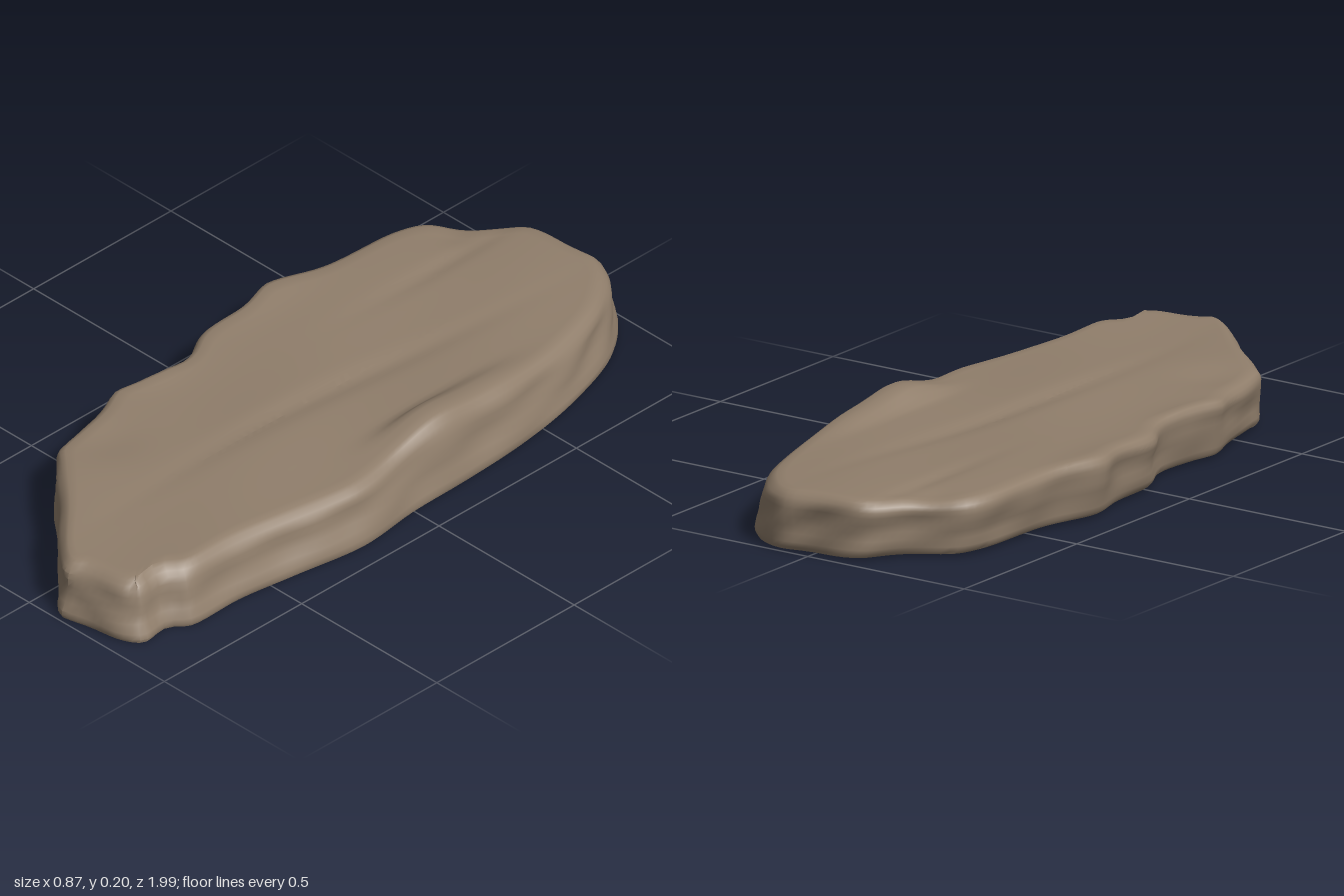
import * as THREE from 'three';
import { toCreasedNormals } from 'three/addons/utils/BufferGeometryUtils.js';

// plan of the slab as x, z pairs, clockwise from the back
const OUTLINE = [
  0.1, -1, 0.18, -0.97, 0.28, -0.86, 0.36, -0.64, 0.40, -0.42, 0.415, -0.2, 0.42, 0, 0.44, 0.2,
  0.41, 0.42, 0.385, 0.6, 0.38, 0.78, 0.345, 0.83, 0.35, 0.92, 0.30, 0.96, 0.2, 0.98, 0.09, 1,
  0.03, 0.96, -0.1, 0.83, -0.3, 0.64, -0.315, 0.58, -0.345, 0.45, -0.38, 0.34, -0.365, 0.25,
  -0.36, 0.12, -0.41, 0, -0.42, -0.15, -0.445, -0.28, -0.40, -0.45, -0.385, -0.7, -0.35, -0.79,
  -0.24, -0.87, -0.15, -0.97, 0, -0.99,
];

const bump = (x, z, cx, cz, rx, rz) => Math.exp(-(((x - cx) / rx) ** 2) - ((z - cz) / rz) ** 2);

// gentle uneven relief of the upper face
function topHeight(x, z) {
  let y = 0.163 + 0.002 * Math.sin(9 * x + 5 * z) + 0.002 * Math.sin(7 * z - 13 * x + 1);
  const ridge = THREE.MathUtils.smoothstep(x, 0.23, 0.29);
  y += 0.036 * ridge * Math.exp(-(((z + 0.14) / 0.13) ** 2));
  y += 0.016 * ridge * Math.exp(-(((z + 0.35) / 0.15) ** 2));
  y += 0.012 * bump(x, z, -0.38, 0.2, 0.07, 0.12) + 0.012 * bump(x, z, -0.42, -0.28, 0.08, 0.2);
  // long shallow grooves
  const bend = 0.06 + 0.05 * Math.sin(2.2 * z + 4);
  y -= 0.009 * bump(x, z, bend, -0.05, 0.035, 0.5);
  y -= 0.006 * bump(x, z, -0.17, -0.65, 0.025, 0.25);
  // worn hollows
  y -= 0.01 * bump(x, z, -0.22, 0.5, 0.09, 0.1) + 0.008 * bump(x, z, -0.25, -0.8, 0.06, 0.05);
  return y;
}

const bottomHeight = (x) => 0.007 - 0.012 * x;

function slabGeometry() {
  const pts = [];
  for (let i = 0; i < OUTLINE.length; i += 2) pts.push(new THREE.Vector3(OUTLINE[i], 0, OUTLINE[i + 1]));
  const N = 200;
  const curve = new THREE.CatmullRomCurve3(pts, true, 'centripetal');
  const edge = curve.getSpacedPoints(N).slice(0, N);
  const normals = edge.map((p, j) => {
    const t = edge[(j + 2) % N].clone().sub(edge[(j + N - 2) % N]).normalize();
    return new THREE.Vector3(t.z, 0, -t.x);
  });

  const pos = [], index = [];
  let rings = 0;
  const addRing = (f) => {
    edge.forEach((p, j) => pos.push(...f(p, normals[j], j)));
    rings++;
  };

  // cap ring: t = 1 is the rim, t = 0 collapses onto the long axis
  const capPoint = (p, t) => [0.02 + (p.x - 0.02) * t, p.z * (0.65 + 0.35 * t)];

  // side wall point at height fraction h
  const wallPoint = (p, n, h) => {
    const lean = 0.045 * h * Math.max(n.x, 0) + 0.03 * (1 - h) * Math.max(-n.x, 0)
      + 0.035 * h * Math.max(n.z, 0);
    const rounding = 0.02 * Math.max(0, (h - 0.8) / 0.2) ** 2 + 0.012 * Math.max(0, (0.15 - h) / 0.15) ** 2;
    const lumps = 0.008 * Math.sin(Math.PI * h)
      * (1 + Math.sin(17 * p.z + 11 * p.x + 4 * h) * Math.sin(23 * p.x - 9 * p.z + 5 * h));
    const d = lean + rounding + lumps;
    return [p.x - n.x * d, p.z - n.z * d];
  };

  // flat underside
  for (const t of [0, 0.5, 0.95]) addRing((p, n) => {
    const [x, z] = wallPoint(p, n, 0);
    const [cx, cz] = capPoint({ x, z }, t);
    return [cx, bottomHeight(cx), cz];
  });
  // rough side wall
  for (const h of [0, 0.06, 0.15, 0.3, 0.45, 0.6, 0.75, 0.85, 0.93, 1]) addRing((p, n) => {
    const [x, z] = wallPoint(p, n, h);
    const low = bottomHeight(x);
    return [x, low + (topHeight(x, z) - 0.006 - low) * h, z];
  });
  // uneven upper face
  for (let k = 1; k <= 18; k++) addRing((p, n) => {
    const [x, z] = wallPoint(p, n, 1);
    const [cx, cz] = capPoint({ x, z }, k === 1 ? 0.965 : 1 - k / 18);
    return [cx, topHeight(cx, cz), cz];
  });

  for (let i = 0; i < rings - 1; i++) {
    for (let j = 0; j < N; j++) {
      const a = i * N + j, b = i * N + (j + 1) % N, c = a + N, d = b + N;
      index.push(a, c, b, b, c, d);
    }
  }
  const geo = new THREE.BufferGeometry();
  geo.setAttribute('position', new THREE.Float32BufferAttribute(pos, 3));
  geo.setIndex(index);
  return toCreasedNormals(geo, 0.7);
}

export function createModel() {
  const group = new THREE.Group();
  group.name = 'stoneSlab';
  const stone = new THREE.MeshStandardMaterial({ color: 0x907e6b });
  stone.name = 'brown stone';
  const slab = new THREE.Mesh(slabGeometry(), stone);
  slab.name = 'slab';
  group.add(slab);
  return group;
}
